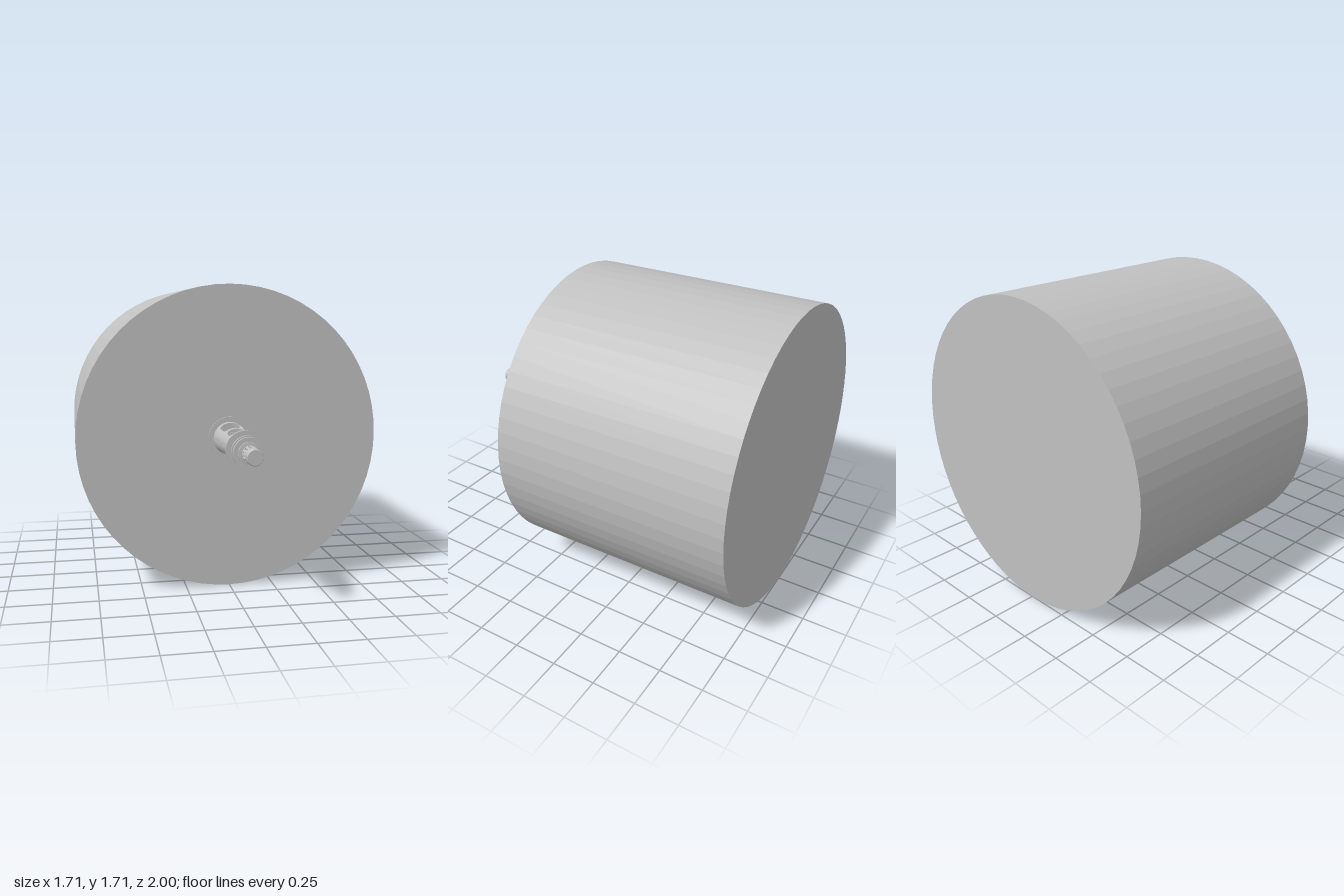
import * as THREE from 'three';
import { toCreasedNormals } from 'three/addons/utils/BufferGeometryUtils.js';

const AXIS_Y = 0.856;

export function createModel() {
  const model = new THREE.Group();
  const metal = new THREE.MeshStandardMaterial({ color: 0xc0c0c0 });
  metal.name = 'grey metal';

  const add = (name, geometry, parent) => {
    const mesh = new THREE.Mesh(geometry, metal);
    mesh.name = name;
    parent.add(mesh);
    return mesh;
  };

  // Solid of revolution about the z axis from [radius, z] pairs
  const turned = (profile, sides = 40) => {
    const g = new THREE.LatheGeometry(profile.map(([r, z]) => new THREE.Vector2(r, z)), sides);
    g.rotateX(Math.PI / 2);
    return toCreasedNormals(g, 0.6);
  };
  const disc = (r, z0, z1) => turned([[0, z0], [r, z0], [r, z1], [0, z1]]);

  // Half of a hollow cone, with windows [start, end] cut above and below it
  const shellHalf = (z0, z1, r0, r1, wall, windows, cut) => {
    const rows = [[z0, Math.PI / 2]];
    for (const [a, b] of windows) {
      for (let k = 0; k <= 16; k++) {
        const t = -Math.cos((k / 16) * Math.PI);
        const open = cut * Math.pow(Math.max(0, 1 - t ** 6), 1 / 4);
        rows.push([(a + b) / 2 + (t * (b - a)) / 2, Math.PI / 2 - open]);
      }
    }
    rows.push([z1, Math.PI / 2]);
    const n = 14, ring = 2 * (n + 1), pos = [], index = [];
    rows.forEach(([z, w]) => {
      const r = r0 + ((r1 - r0) * (z - z0)) / (z1 - z0);
      for (let j = 0; j < ring; j++) {
        const outer = j <= n;
        const angle = outer ? -w + (2 * w * j) / n : w - (2 * w * (j - n - 1)) / n;
        const q = outer ? r : r - wall;
        pos.push(q * Math.cos(angle), q * Math.sin(angle), z);
      }
    });
    for (let i = 0; i < rows.length - 1; i++) {
      for (let j = 0; j < ring; j++) {
        const a = i * ring + j, b = i * ring + ((j + 1) % ring);
        index.push(a, b, b + ring, a, b + ring, a + ring);
      }
    }
    const g = new THREE.BufferGeometry();
    g.setAttribute('position', new THREE.Float32BufferAttribute(pos, 3));
    g.setIndex(index);
    return toCreasedNormals(g, 0.6);
  };
  const windowedShell = (name, parent, ...args) => {
    const group = new THREE.Group();
    group.name = name;
    const g = shellHalf(...args);
    add('leftRail', g, group);
    add('rightRail', g, group).rotation.z = Math.PI;
    parent.add(group);
  };

  // Large faceted drum
  const drum = new THREE.CylinderGeometry(0.856, 0.856, 1.365, 64).toNonIndexed();
  drum.rotateX(Math.PI / 2);
  drum.computeVertexNormals();
  add('drum', drum, model).position.set(0, AXIS_Y, -0.3175);

  const stem = new THREE.Group();
  stem.name = 'stem';
  stem.position.y = AXIS_Y;
  model.add(stem);

  // Flange and tapering yoke with two pairs of windows
  add('baseFlange', disc(0.122, 0.36, 0.373), stem);
  windowedShell('yoke', stem, 0.37, 0.74, 0.094, 0.068, 0.014,
    [[0.4, 0.53], [0.552, 0.728]], 0.8);

  // Rod with clamping nuts inside the yoke
  add('innerRod', disc(0.014, 0.37, 0.82), stem);
  for (const z of [0.463, 0.605]) {
    add('rodNut', turned([[0, z - 0.03], [0.03, z - 0.03], [0.036, z - 0.02], [0.036, z - 0.007],
      [0.046, z - 0.007], [0.046, z + 0.007], [0.036, z + 0.007], [0.036, z + 0.02],
      [0.03, z + 0.03], [0, z + 0.03]]), stem);
  }
  add('rodCollar', turned([[0, 0.67], [0.018, 0.67], [0.027, 0.69], [0.027, 0.71],
    [0.04, 0.715], [0.04, 0.735], [0, 0.735]]), stem);

  // Collars and the open neck between them
  add('yokeCollar', disc(0.098, 0.737, 0.752), stem);
  windowedShell('openNeck', stem, 0.75, 0.808, 0.06, 0.06, 0.022, [[0.752, 0.806]], 0.8);
  add('collarSpool', turned([[0, 0.803], [0.081, 0.803], [0.081, 0.816], [0.062, 0.816],
    [0.062, 0.848], [0.081, 0.848], [0.081, 0.862], [0.058, 0.862], [0.058, 0.872],
    [0.032, 0.875], [0, 0.875]]), stem);

  // Ribbed grip and round tip
  add('gripCore', disc(0.034, 0.87, 0.96), stem);
  const ribs = new THREE.Group();
  ribs.name = 'gripRibs';
  stem.add(ribs);
  const rib = new THREE.BoxGeometry(0.012, 0.012, 0.066);
  rib.translate(0.036, 0, 0.918);
  for (let i = 0; i < 12; i++) add('gripRib', rib, ribs).rotation.z = (i * Math.PI) / 6;
  add('gripRing', disc(0.041, 0.878, 0.888), stem);
  add('tip', turned([[0, 0.95], [0.042, 0.95], [0.042, 0.996], [0.039, 1], [0, 1]]), stem);

  return model;
}
